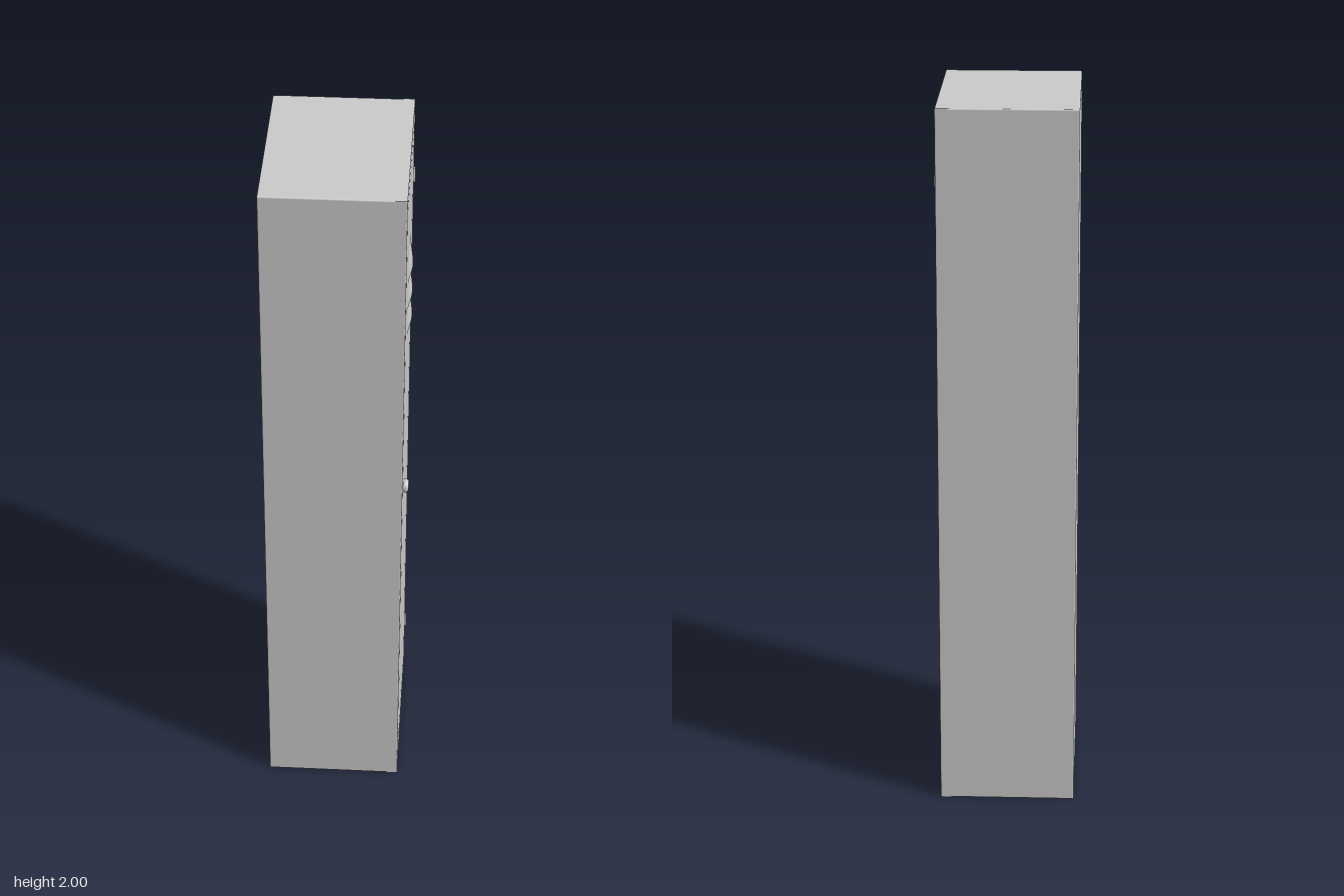
import * as THREE from 'three';
import { RoundedBoxGeometry } from 'three/addons/geometries/RoundedBoxGeometry.js';

const FRONT = 0.182, BACK = -0.198, HALF_Z = 0.257, HEIGHT = 2;
const VENTS = [1.48, 1.56, 1.645];   // lower edge of each louvre

const grey = new THREE.MeshStandardMaterial({ color: 0xcccccc });
const thin = new THREE.MeshStandardMaterial({ color: 0xcccccc, side: THREE.DoubleSide });

function add(parent, name, geometry, x = 0, y = 0, z = 0, material = grey) {
  const mesh = new THREE.Mesh(geometry, material);
  mesh.name = name;
  mesh.position.set(x, y, z);
  parent.add(mesh);
  return mesh;
}

// Rectangle outline; its first axis runs along -z once the panel faces +x
function rect(w, y0, y1, Type = THREE.Shape) {
  return new Type([[-w, y0], [w, y0], [w, y1], [-w, y1]].map(p => new THREE.Vector2(...p)));
}

// Panel facing +x, spanning back..FRONT, with a small rounded rim
function panel(shape, back, rim) {
  const g = new THREE.ExtrudeGeometry(shape, {
    depth: FRONT - back - 2 * rim, bevelThickness: rim, bevelSize: rim,
    bevelOffset: -rim, bevelSegments: 3,
  });
  return g.translate(0, 0, back + rim).rotateY(Math.PI / 2);
}

// Louvre hood: a sheet that swells outward toward its open lower edge
function louvre() {
  const w = 0.22, h = 0.06;
  const g = new THREE.PlaneGeometry(w, h, 32, 10);
  const p = g.attributes.position;
  for (let i = 0; i < p.count; i++) {
    const across = Math.cos(Math.PI * p.getX(i) / w) ** 2;
    const t = 0.5 - p.getY(i) / h;
    p.setZ(i, 0.0105 * across * Math.sin(t * Math.PI / 2) ** 1.5);
  }
  g.translate(0, h / 2, 0).rotateY(Math.PI / 2);
  g.computeVertexNormals();
  return g;
}

export function createModel() {
  const locker = new THREE.Group();
  locker.name = 'locker';

  // Cabinet body, ending a little behind the front
  const bodyFront = 0.17;
  add(locker, 'cabinetBody',
    new RoundedBoxGeometry(bodyFront - BACK, HEIGHT, HALF_Z * 2, 3, 0.004),
    (bodyFront + BACK) / 2, HEIGHT / 2, 0);

  // Front frame around the door opening
  const frame = rect(HALF_Z, 0, HEIGHT);
  frame.holes.push(rect(0.204, 0.059, 1.946, THREE.Path));
  add(locker, 'frontFrame', panel(frame, 0.15, 0.003));

  // Door, flush with the frame, slotted behind each louvre
  const door = new THREE.Group();
  door.name = 'door';
  locker.add(door);
  const leaf = rect(0.2, 0.063, 1.942);
  for (const y of VENTS) leaf.holes.push(rect(0.075, y + 0.003, y + 0.02, THREE.Path));
  add(door, 'doorPanel', panel(leaf, 0.165, 0.001));
  for (const y of VENTS) add(door, 'ventLouvre', louvre(), FRONT - 0.0005, y, 0, thin);

  // Round lock knob with a stepped face
  const profile = [[0.017, 0], [0.019, 0.002], [0.019, 0.009], [0.0175, 0.011],
    [0.0165, 0.011], [0.0165, 0.014], [0.0155, 0.015], [0, 0.015]]
    .map(p => new THREE.Vector2(...p));
  add(door, 'lockKnob', new THREE.LatheGeometry(profile, 32).rotateZ(-Math.PI / 2),
    FRONT, 1.02, 0.163);

  // Hinge barrels
  for (const y of [0.205, 1.8])
    add(locker, 'hinge', new THREE.CylinderGeometry(0.004, 0.004, 0.045, 16), 0.184, y, -0.202);

  return locker;
}
